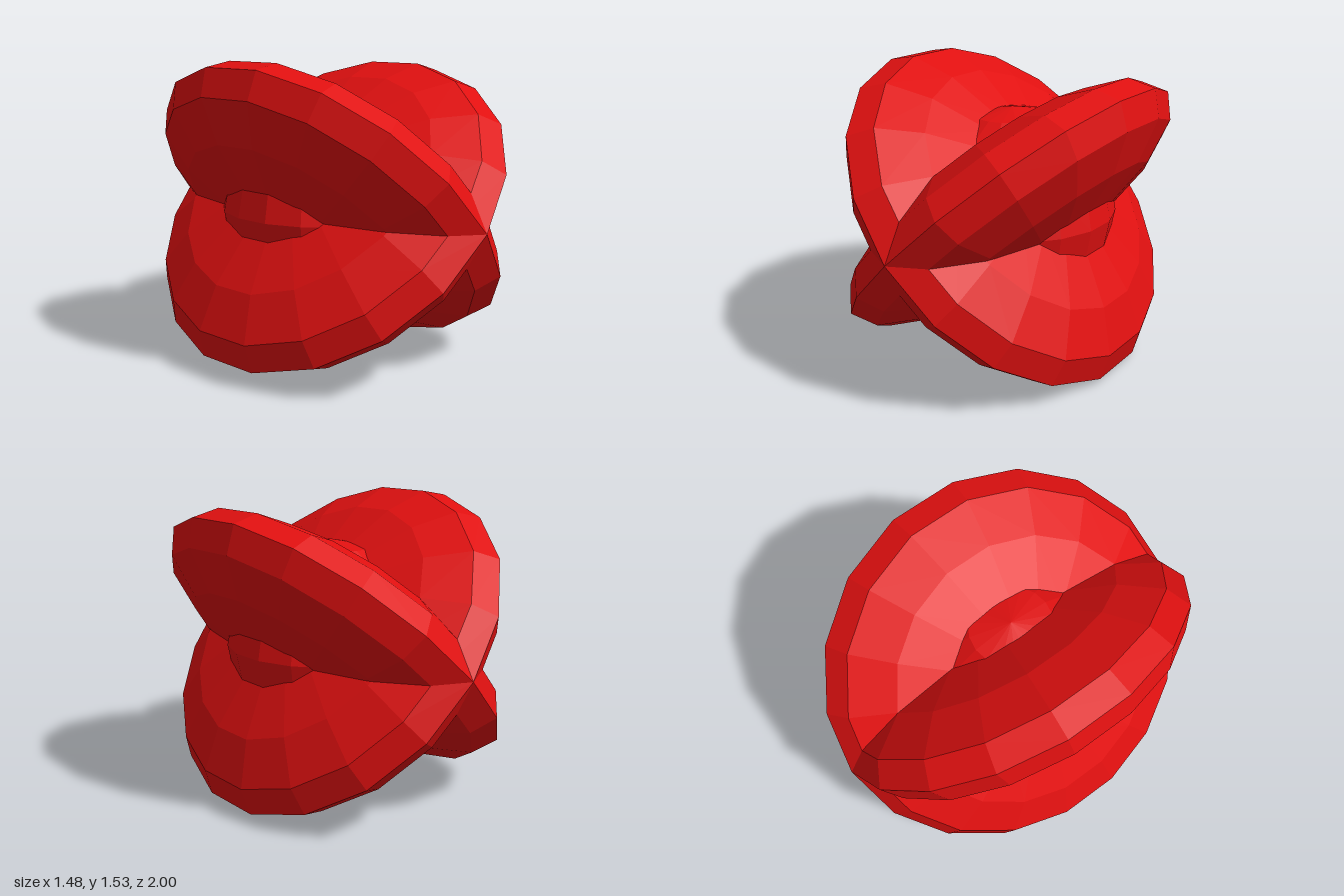
import * as THREE from 'three';

const CENTER_Y = 0.765;

export function createModel() {
  const group = new THREE.Group();
  const red = new THREE.MeshStandardMaterial({ color: 0xe01010, flatShading: true });

  // Faceted ball, flattened along its own axis and rolled about z
  function addBall(name, radius, flatten, rollDegrees) {
    const geometry = new THREE.SphereGeometry(radius, 18, 8);
    geometry.rotateY(Math.PI / 2); // puts a column of vertices on the z axis
    geometry.scale(1, flatten, 1);
    geometry.rotateZ(THREE.MathUtils.degToRad(rollDegrees));
    const mesh = new THREE.Mesh(geometry, red);
    mesh.name = name;
    mesh.position.y = CENTER_Y;
    group.add(mesh);
  }

  // Two crossed lens-shaped discs meeting at the front and back tips
  addBall('risingDisc', 1, 0.325, 44);
  addBall('fallingDisc', 1, 0.325, -48.6);

  // Round core showing in the hollows between the discs
  addBall('core', 0.54, 1, 0);

  return group;
}
